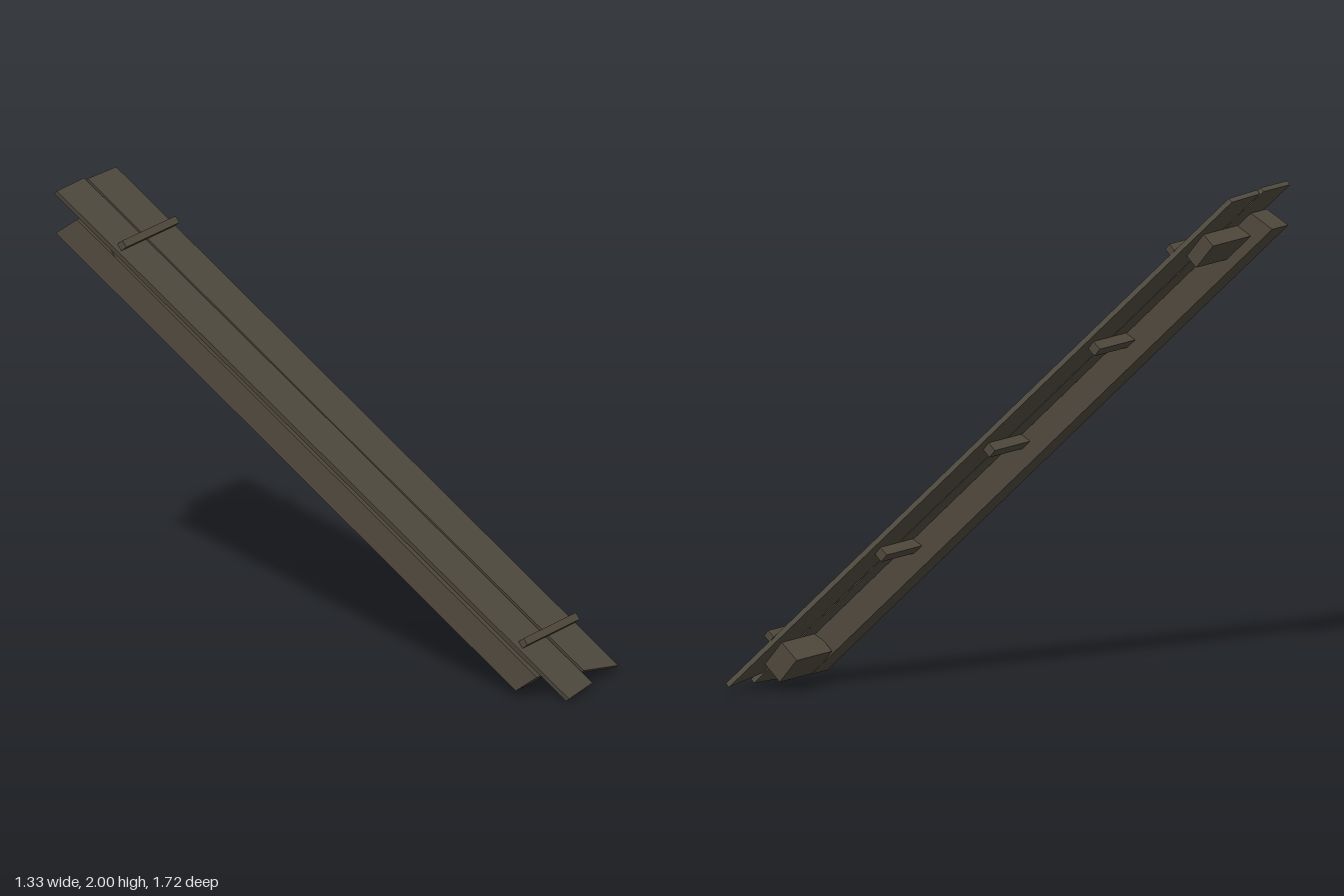
import * as THREE from 'three';

const boardWood = new THREE.MeshStandardMaterial({ color: 0x514c40 });
boardWood.name = 'weathered board wood';
const frameWood = new THREE.MeshStandardMaterial({ color: 0x4f483c });
frameWood.name = 'brown frame wood';

// Sideways drift of the oblique panel per unit along the slope
const SKEW = -0.378;

// Flat board: outline in the slope plane, extruded through its thickness
function board(name, outline, thickness) {
  const shape = new THREE.Shape(outline.map(([x, y]) => new THREE.Vector2(x, y)));
  const geo = new THREE.ExtrudeGeometry(shape, { depth: thickness, bevelEnabled: false });
  geo.translate(0, 0, -thickness / 2);
  const mesh = new THREE.Mesh(geo, boardWood);
  mesh.name = name;
  return mesh;
}

// Crosspiece spanning x0..x1, y0..y1 along the slope, z0..z1 through the panel
function block(name, [x0, x1], [y0, y1], [z0, z1], material = frameWood) {
  const mesh = new THREE.Mesh(new THREE.BoxGeometry(x1 - x0, y1 - y0, z1 - z0), material);
  mesh.position.set((x0 + x1) / 2, (y0 + y1) / 2, (z0 + z1) / 2);
  mesh.name = name;
  return mesh;
}

export function createModel() {
  const model = new THREE.Group();
  model.name = 'leaningPlankPanel';

  // Everything lies on one slope, rising towards the back
  const panel = new THREE.Group();
  panel.name = 'panel';
  panel.rotation.x = -0.71;
  panel.position.y = 1;
  model.add(panel);

  // Two long boards with a seam that opens towards both ends
  panel.add(
    board('rightBoard', [
      [0.335, -1.308], [0.49, -1.292], [0.002, 0], [-0.497, 1.307], [-0.662, 1.307],
    ], 0.02),
    board('leftBoard', [
      [0.483, -1.235], [0.66, -1.275], [-0.315, 1.29], [-0.482, 1.298], [0.007, 0],
    ], 0.02),
  );

  // Heavy beam under one edge, leaning outwards, with end cuts across the slope
  const beamGeo = new THREE.BoxGeometry(0.1, 2.355, 0.093);
  const p = beamGeo.attributes.position;
  for (let i = 0; i < p.count; i++) {
    p.setX(i, p.getX(i) - 0.15 + SKEW * p.getY(i) + 0.45 * p.getZ(i));
    p.setZ(i, p.getZ(i) - 0.0585);
  }
  beamGeo.computeVertexNormals();
  const beam = new THREE.Mesh(beamGeo, frameWood);
  beam.name = 'beam';
  panel.add(beam);

  // Slim battens under the boards
  for (const y of [-0.567, -0.014, 0.522]) {
    const mid = SKEW * y;
    panel.add(block('batten', [mid - 0.12, mid + 0.115], [y - 0.02, y + 0.02], [-0.05, -0.01]));
  }

  // Thick blocks beside the beam near each end
  panel.add(
    block('upperBlock', [-0.55, -0.29], [0.985, 1.11], [-0.07, -0.01]),
    block('lowerBlock', [0.3, 0.52], [-1.175, -1.05], [-0.104, -0.01]),
  );

  // Narrow straps across the face
  const upperStrap = block('upperStrap', [-0.525, -0.205], [0.99, 1.02], [0.008, 0.042]);
  const lowerStrap = block('lowerStrap', [0.257, 0.575], [-1.055, -1.025], [0.008, 0.042]);
  upperStrap.rotation.z = -0.015;
  panel.add(upperStrap, lowerStrap);

  return model;
}
